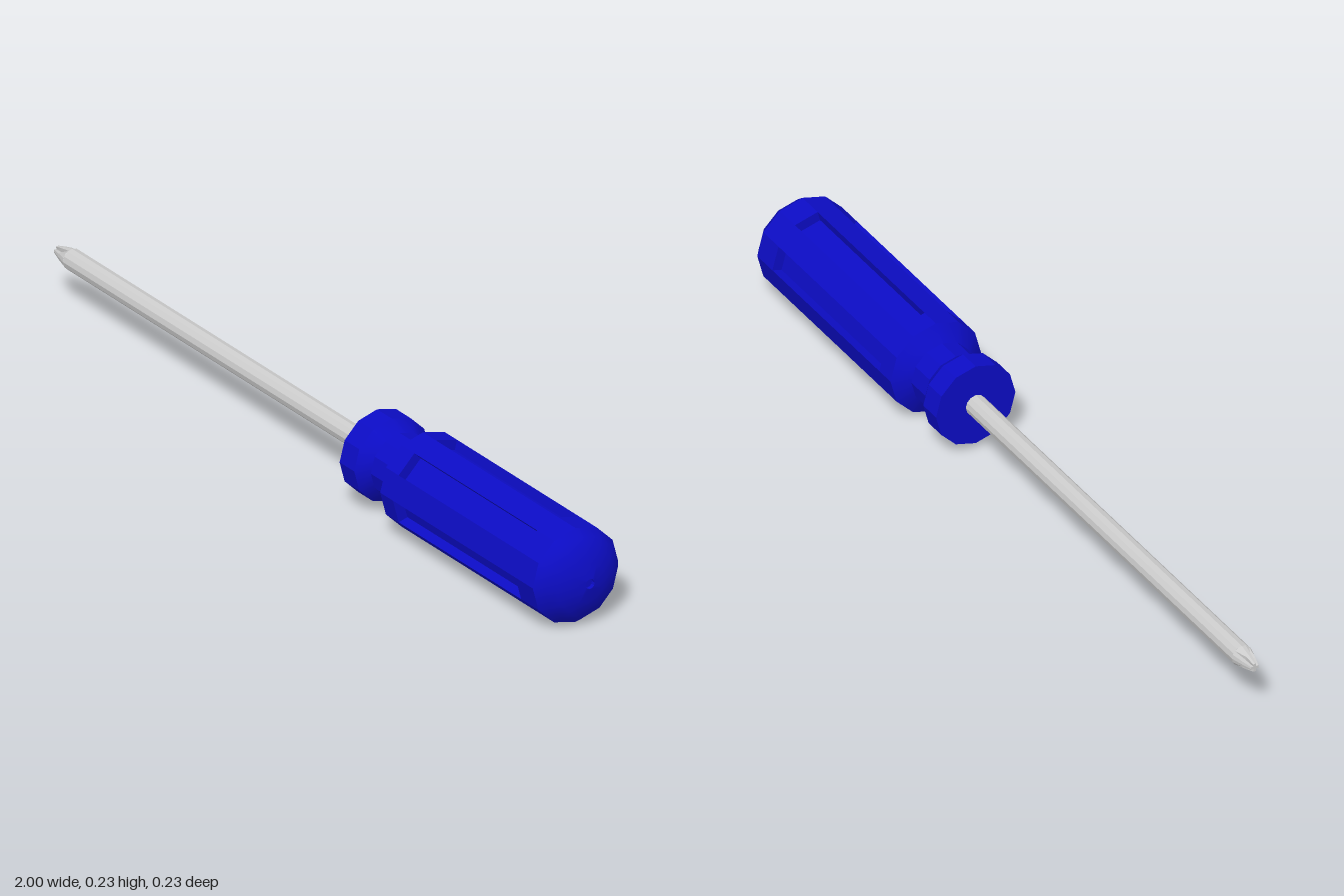
import * as THREE from 'three';
import { toCreasedNormals } from 'three/addons/utils/BufferGeometryUtils.js';

const SIDES = 12, R = 0.114, GROOVE = 0.024;
const GROOVE_START = 0.42, GROOVE_END = 0.88;

const blue = new THREE.MeshStandardMaterial({ color: 0x0c0cc4 });
const blueFlat = new THREE.MeshStandardMaterial({ color: 0x0c0cc4, flatShading: true });
const steel = new THREE.MeshStandardMaterial({ color: 0xcccccc, flatShading: true });

function part(name, geometry, material) {
  const mesh = new THREE.Mesh(geometry, material);
  mesh.name = name;
  return mesh;
}

// Twelve-sided turned piece along x, from [x, radius] pairs
function turned(profile) {
  const points = profile.map(([x, r]) => new THREE.Vector2(r, x));
  const g = new THREE.LatheGeometry(points, SIDES).rotateZ(-Math.PI / 2);
  return toCreasedNormals(g, 0.5);
}

// Twelve-sided grip with every second face sunk in
function groovedGrip() {
  const step = (2 * Math.PI) / SIDES;
  const at = (a, r) => new THREE.Vector2(Math.sin(a) * r, Math.cos(a) * r);
  const outline = [];
  for (let k = 0; k < SIDES; k += 2) {
    const a = at(k * step, R), b = at((k + 1) * step, R);
    const sink = at((k + 0.5) * step, -GROOVE);
    outline.push(a, a.clone().add(sink), b.clone().add(sink), b);
  }
  return new THREE.ExtrudeGeometry(new THREE.Shape(outline), {
    depth: GROOVE_END - GROOVE_START, bevelEnabled: false,
  }).rotateY(Math.PI / 2).translate(GROOVE_START, 0, 0);
}

// Cross tip: rings of [x, blade radius, notch radius], closed at the point
function crossTip() {
  const rings = [[-1, 0.010, 0.004], [-0.975, 0.0175, 0.009], [-0.945, 0.025, 0.025]];
  const n = 16, pos = [], idx = [];
  for (const [x, blade, notch] of rings) {
    for (let j = 0; j < n; j++) {
      const a = (j / n) * 2 * Math.PI, r = j % 4 === 2 ? notch : blade;
      pos.push(x, r * Math.cos(a), r * Math.sin(a));
    }
  }
  const centre = pos.length / 3;
  pos.push(-1, 0, 0);
  for (let j = 0; j < n; j++) {
    const k = (j + 1) % n;
    for (let i = 0; i < rings.length - 1; i++) {
      const a = i * n + j, b = a + n, c = i * n + k, d = c + n;
      idx.push(a, c, b, c, d, b);
    }
    idx.push(centre, k, j);
  }
  const g = new THREE.BufferGeometry();
  g.setAttribute('position', new THREE.Float32BufferAttribute(pos, 3));
  g.setIndex(idx);
  g.computeVertexNormals();
  return g;
}

export function createModel() {
  const model = new THREE.Group();
  model.name = 'screwdriver';

  // Handle: collar, neck and shoulder, grooved grip, domed end
  const handle = new THREE.Group();
  handle.name = 'handle';
  handle.add(
    part('collarAndNeck', turned([
      [0.2, 0], [0.2, 0.1], [0.255, 0.1], [0.285, 0.077], [0.345, 0.077],
      [0.372, R], [GROOVE_START, R], [GROOVE_START, 0],
    ]), blue),
    part('grip', groovedGrip(), blueFlat),
    part('domedEnd', turned([
      [GROOVE_END, 0], [GROOVE_END, R], [0.945, R], [0.965, 0.099], [0.981, 0.077],
      [0.993, 0.046], [1, 0.012], [0.99, 0.012], [0.99, 0],
    ]), blue),
  );

  // Steel shaft and cross tip
  const shaft = new THREE.CylinderGeometry(0.025, 0.025, 1.165, SIDES, 1, true)
    .rotateZ(-Math.PI / 2).translate(-0.3625, 0, 0);
  model.add(handle, part('shaft', shaft, steel), part('tip', crossTip(), steel));

  // Rest on the floor
  for (const child of model.children) child.position.y = R;
  return model;
}
